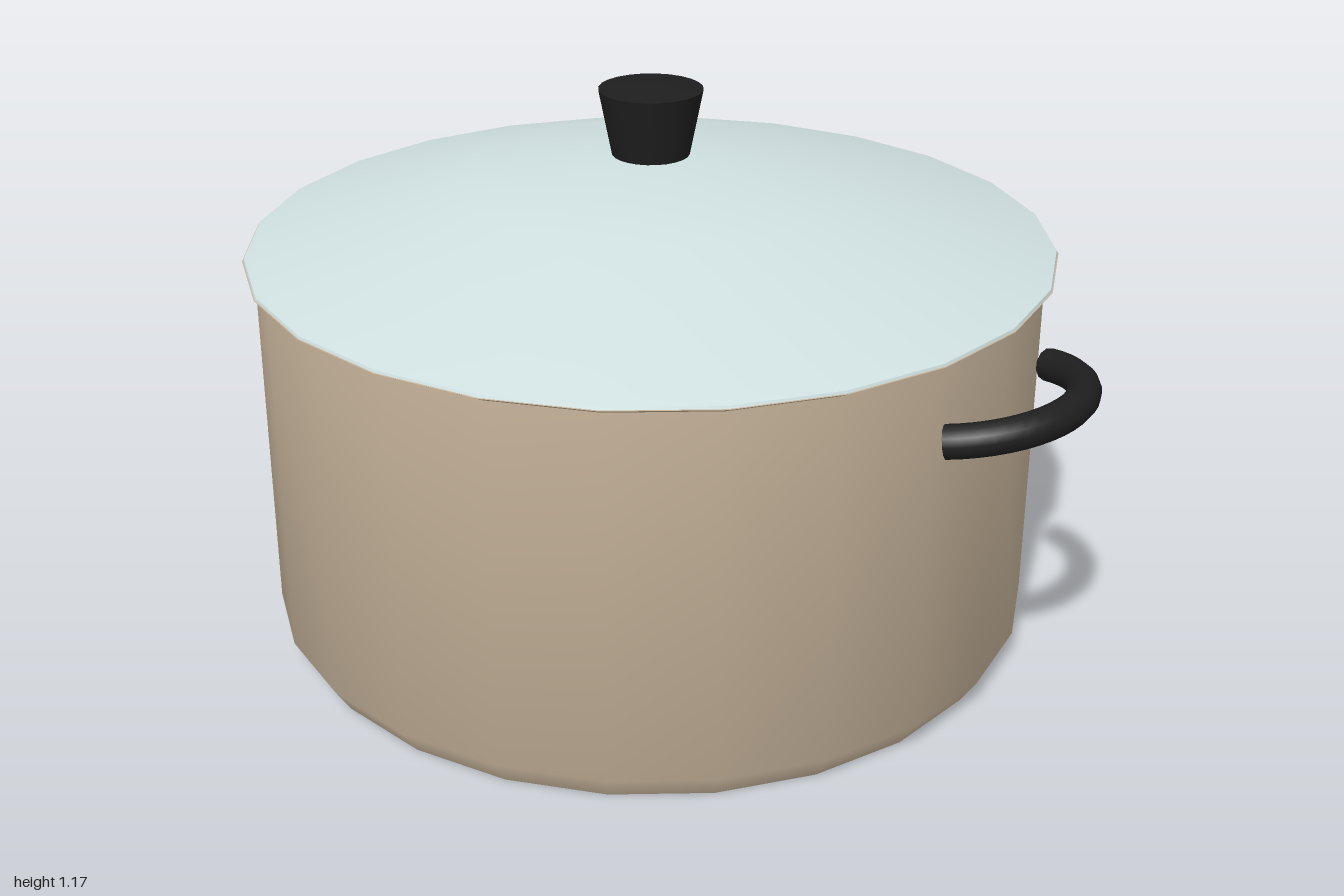
import * as THREE from 'three';
import { toCreasedNormals } from 'three/addons/utils/BufferGeometryUtils.js';

const SIDES = 24;

function lathe(points, crease) {
  const profile = points.map(([r, y]) => new THREE.Vector2(r, y));
  return toCreasedNormals(new THREE.LatheGeometry(profile, SIDES), crease);
}

function addMesh(parent, name, geometry, material) {
  const mesh = new THREE.Mesh(geometry, material);
  mesh.name = name;
  parent.add(mesh);
  return mesh;
}

export function createModel() {
  const model = new THREE.Group();
  model.name = 'cookingPot';
  const potMetal = new THREE.MeshStandardMaterial({ color: 0xc8b59c });
  potMetal.name = 'warm metal';
  const lidGlass = new THREE.MeshStandardMaterial({ color: 0xcfdfdf });
  lidGlass.name = 'pale glass';
  const black = new THREE.MeshStandardMaterial({ color: 0x1e1e1e });
  black.name = 'black plastic';

  // Pot: chamfered base, straight wall, flared rim, and inner wall
  addMesh(model, 'potBody', lathe([
    [0, 0], [0.78, 0], [0.815, 0.055], [0.815, 0.82], [0.838, 0.833],
    [0.795, 0.833], [0.795, 0.06], [0, 0.03],
  ], 0.65), potMetal);

  // Lid: shallow dome with a thin edge and a hollow underside
  addMesh(model, 'lid', lathe([
    [0, 0.995], [0.4, 0.945], [0.8, 0.834], [0.836, 0.834],
    [0.834, 0.839], [0.815, 0.845], [0.4, 0.966], [0, 1.02],
  ], 0.65), lidGlass);

  // Knob: widens upwards to a slightly peaked top
  addMesh(model, 'lidKnob', lathe([
    [0, 1.015], [0.08, 1.02], [0.107, 1.157], [0, 1.17],
  ], 0.7), black);

  // Side handles: capped arcs tilted up away from the wall
  const radius = 0.223, tube = 0.033, half = 1.25;
  for (const side of [1, -1]) {
    const handle = new THREE.Group();
    handle.name = side > 0 ? 'leftHandle' : 'rightHandle';
    handle.rotation.y = side > 0 ? 0 : Math.PI;

    const tilted = new THREE.Group();
    tilted.name = 'handleTilt';
    tilted.position.set(0.745, 0.672, 0);
    tilted.rotation.z = 0.17;
    handle.add(tilted);

    const arc = new THREE.TorusGeometry(radius, tube, 12, 20, half * 2);
    arc.rotateZ(-half);
    arc.rotateX(Math.PI / 2);
    addMesh(tilted, 'handleGrip', arc, black);

    for (const end of [1, -1]) {
      const cap = addMesh(tilted, 'handleEnd', new THREE.CircleGeometry(tube, 12), black);
      cap.position.set(radius * Math.cos(half), 0, end * radius * Math.sin(half));
      cap.rotation.y = end > 0 ? -half : Math.PI + half;
    }
    model.add(handle);
  }
  return model;
}
